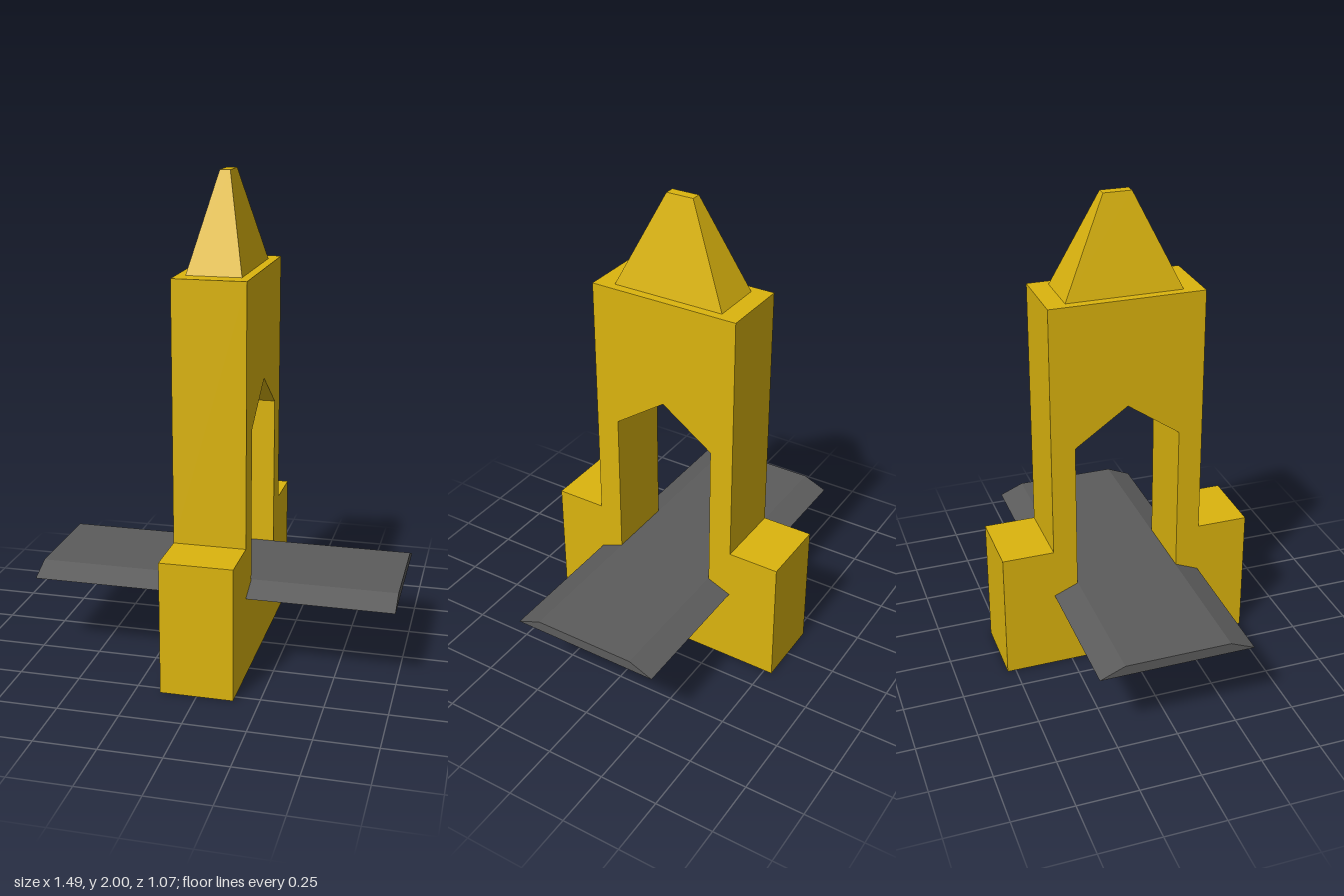
import * as THREE from 'three';

const gold = new THREE.MeshStandardMaterial({ color: 0xdbb40e, flatShading: true });
const grey = new THREE.MeshStandardMaterial({ color: 0x5c5c5c, flatShading: true });

// Outline mirrored about the vertical axis, from right-half points listed bottom to top
const mirrored = (half) => {
  const left = half.filter(([x]) => x > 0).map(([x, y]) => [-x, y]).reverse();
  return [...half, ...left].map(([x, y]) => new THREE.Vector2(x, y));
};

// Side profile extruded across the x axis and centred on it
function crossExtrude(name, shape, width, material) {
  const geometry = new THREE.ExtrudeGeometry(shape, { depth: width, bevelEnabled: false });
  geometry.translate(0, 0, -width / 2).rotateY(Math.PI / 2);
  const mesh = new THREE.Mesh(geometry, material);
  mesh.name = name;
  return mesh;
}

// Box whose top face is scaled to its own width and depth
function taperedBox(name, [w, d], [topW, topD], y0, y1, material) {
  const geometry = new THREE.BoxGeometry(w, y1 - y0, d);
  const p = geometry.attributes.position;
  for (let i = 0; i < p.count; i++) {
    if (p.getY(i) > 0) {
      p.setX(i, p.getX(i) * topW / w);
      p.setZ(i, p.getZ(i) * topD / d);
    }
  }
  geometry.computeVertexNormals();
  const mesh = new THREE.Mesh(geometry, material);
  mesh.name = name;
  mesh.position.y = (y0 + y1) / 2;
  return mesh;
}

export function createModel() {
  const model = new THREE.Group();
  model.name = 'bridgeTower';

  // Stepped tower with a pointed archway
  const tower = new THREE.Shape(mirrored([
    [0.535, 0], [0.535, 0.55], [0.32, 0.55], [0.32, 1.615],
  ]));
  tower.holes.push(new THREE.Path(mirrored([
    [0.22, 0.36], [0.22, 1.013], [0, 1.167],
  ])));
  model.add(crossExtrude('tower', tower, 0.296, gold));

  // Tapered roof
  model.add(taperedBox('spire', [0.222, 0.48], [0.042, 0.116], 1.615, 2, gold));

  // Road deck with sloped long edges, running through the archway
  const deck = new THREE.Shape(mirrored([[0.32, 0.338], [0.218, 0.381]]));
  model.add(crossExtrude('roadDeck', deck, 1.488, grey));

  return model;
}
